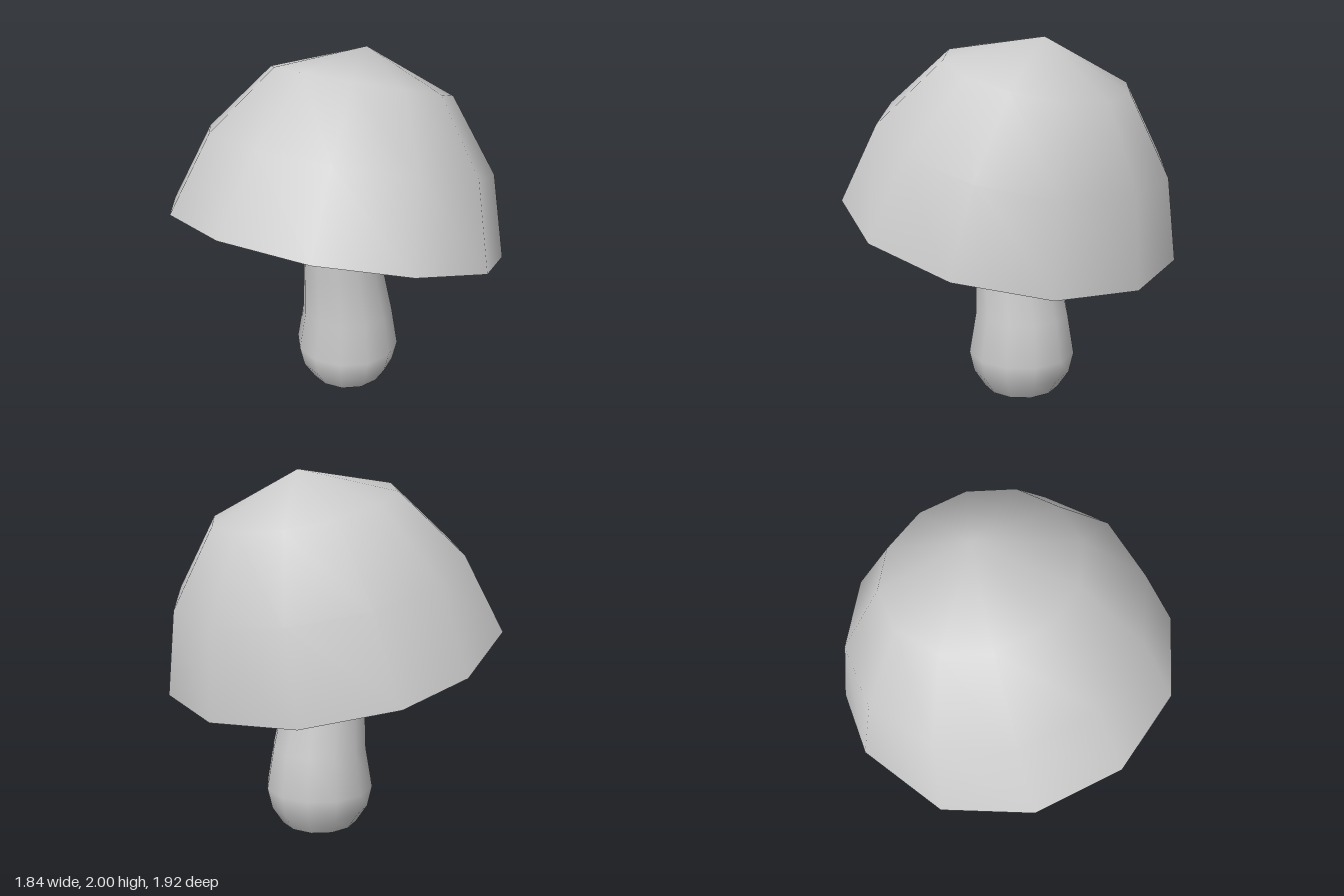
import * as THREE from 'three';
import { mergeVertices } from 'three/addons/utils/BufferGeometryUtils.js';

const SIDES = 12;
const grey = new THREE.MeshStandardMaterial({ color: 0xcccccc });

// Revolve a [radius, height] profile, move its vertices by a rule, smooth without a seam
function turned(name, profile, rule) {
  const lathe = new THREE.LatheGeometry(profile.map(([r, y]) => new THREE.Vector2(r, y)), SIDES);
  const p = lathe.attributes.position;
  const v = new THREE.Vector3();
  for (let i = 0; i < p.count; i++) {
    rule(v.fromBufferAttribute(p, i));
    p.setXYZ(i, v.x, v.y, v.z);
  }
  lathe.deleteAttribute('normal');
  lathe.deleteAttribute('uv');
  const geometry = mergeVertices(lathe, 1e-4);
  geometry.computeVertexNormals();
  const mesh = new THREE.Mesh(geometry, grey);
  mesh.name = name;
  return mesh;
}

export function createModel() {
  const model = new THREE.Group();
  model.name = 'mushroom';

  // Cap is a touch deeper than wide; its rim is uneven, with the rearmost corner pushed sideways
  const skewRim = (v) => {
    if (v.y < 0.005) {
      if (v.z < -0.94) v.x += 0.083;
      else if (v.z < 0.94) v.z -= 0.012;
    }
    v.z *= 1.01;
  };

  // Tilted cap: dome and shallow hollow underside
  const cap = new THREE.Group();
  cap.name = 'cap';
  cap.add(
    turned('capDome', [[0.95, 0], [0.805, 0.45], [0.507, 0.833], [0, 1.021]], skewRim),
    turned('capUnderside', [[0, 0.1], [0.3, 0.09], [0.95, 0]], skewRim)
  );
  cap.position.y = 1.014;
  cap.rotation.z = -THREE.MathUtils.degToRad(14.9);
  model.add(cap);

  // Stem: bulbous foot, bending towards -x as it rises into the cap
  const lean = (v) => {
    const t = Math.max(0, v.y - 0.45);
    v.x += 0.1 - 0.164 * t + 0.067 * t * t;
  };
  const stem = new THREE.Group();
  stem.name = 'stem';
  stem.add(
    turned('stemSide', [[0.22, 0], [0.284, 0.1], [0.311, 0.22], [0.272, 0.45], [0.236, 0.74], [0.2, 1.25]], lean),
    turned('stemFoot', [[0, 0], [0.22, 0]], lean)
  );
  model.add(stem);

  return model;
}
